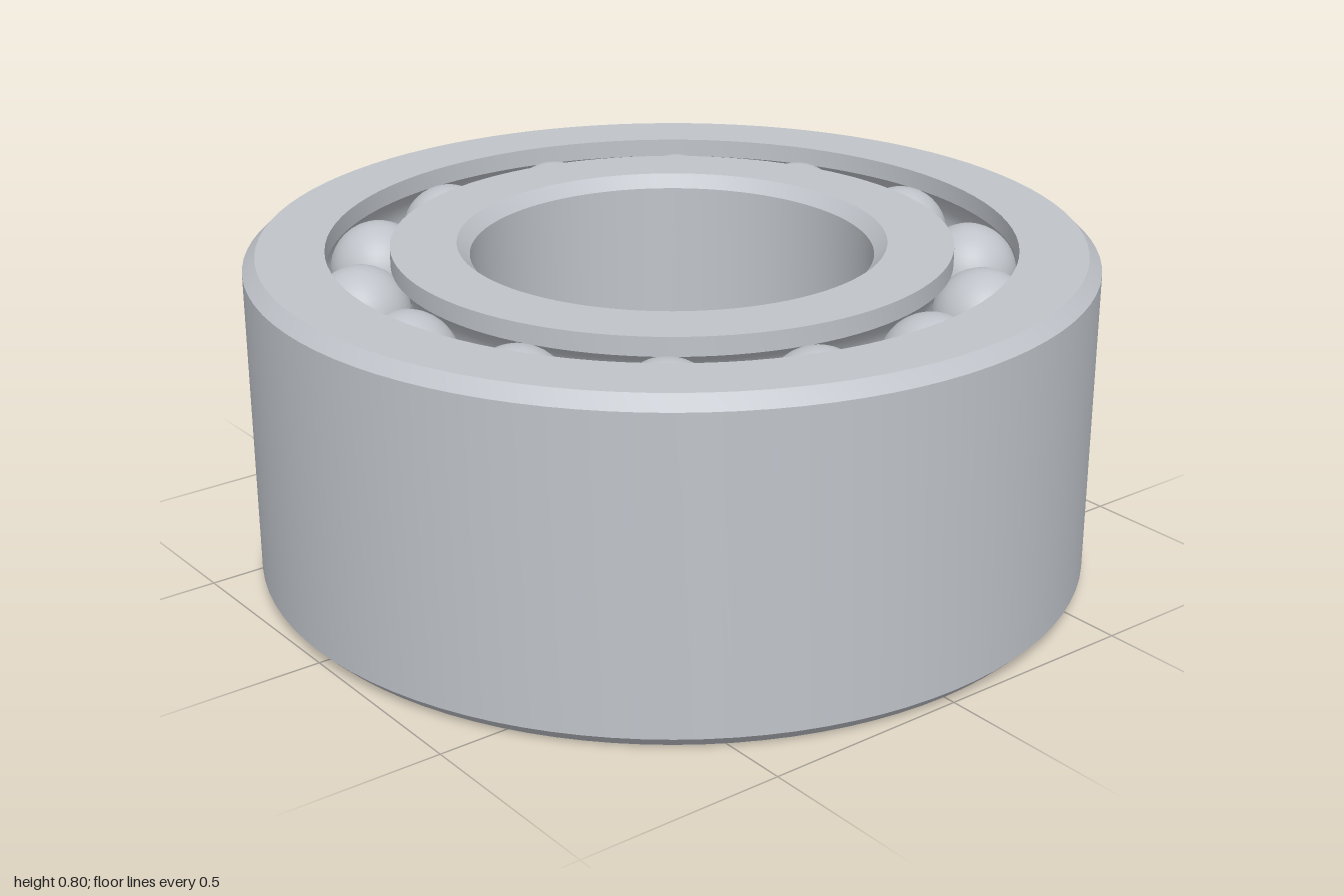
import * as THREE from 'three';
import { toCreasedNormals } from 'three/addons/utils/BufferGeometryUtils.js';

const HEIGHT = 0.8;
const CHAMFER = 0.03;
const PITCH = 0.735;        // radius of the ball circle
const HALF_GAP = 0.075;     // half the gap between the two rings
const BALL_R = 0.118;
const GROOVE_R = 0.121;
const ROWS = [0.14, 0.66];  // heights of the two ball rows
const BALLS_PER_ROW = 14;

// Arc of a raceway; start and end are angles in the profile plane
function groove(y, start, end) {
  const points = [];
  for (let i = 0; i <= 10; i++) {
    const a = start + (end - start) * i / 10;
    points.push(new THREE.Vector2(PITCH + GROOVE_R * Math.cos(a), y + GROOVE_R * Math.sin(a)));
  }
  return points;
}

// Closed ring profile turned round the axis, with crisp edges
function ring(name, profile, material) {
  const geometry = toCreasedNormals(new THREE.LatheGeometry([...profile, profile[0].clone()], 96), Math.PI / 7);
  const mesh = new THREE.Mesh(geometry, material);
  mesh.name = name;
  return mesh;
}

export function createModel() {
  const group = new THREE.Group();
  group.name = 'ballBearing';
  const steel = new THREE.MeshStandardMaterial({ color: 0xc0c4ca });
  steel.name = 'steel';

  const v = (x, y) => new THREE.Vector2(x, y);
  const half = Math.acos(HALF_GAP / GROOVE_R);
  const [low, high] = ROWS;

  // Outer ring: chamfered outside, two raceways inside
  const outerWall = PITCH + HALF_GAP;
  group.add(ring('outerRing', [
    v(1 - CHAMFER, 0), v(1, CHAMFER), v(1, HEIGHT - CHAMFER), v(1 - CHAMFER, HEIGHT),
    v(outerWall, HEIGHT),
    ...groove(high, half, -half),
    ...groove(low, half, -half),
    v(outerWall, 0),
  ], steel));

  // Inner ring: two raceways outside, chamfered bore
  const innerWall = PITCH - HALF_GAP;
  const bore = 0.475;
  group.add(ring('innerRing', [
    v(bore + CHAMFER, 0), v(innerWall, 0),
    ...groove(low, Math.PI + half, Math.PI - half),
    ...groove(high, Math.PI + half, Math.PI - half),
    v(innerWall, HEIGHT), v(bore + CHAMFER, HEIGHT),
    v(bore, HEIGHT - CHAMFER), v(bore, CHAMFER),
  ], steel));

  // Two aligned rows of balls
  const ballGeometry = new THREE.SphereGeometry(BALL_R, 32, 20);
  ROWS.forEach((y, row) => {
    const balls = new THREE.Group();
    balls.name = row === 0 ? 'lowerBallRow' : 'upperBallRow';
    for (let i = 0; i < BALLS_PER_ROW; i++) {
      const a = i / BALLS_PER_ROW * Math.PI * 2;
      const ball = new THREE.Mesh(ballGeometry, steel);
      ball.name = 'ball';
      ball.position.set(PITCH * Math.cos(a), y, PITCH * Math.sin(a));
      balls.add(ball);
    }
    group.add(balls);
  });

  return group;
}
